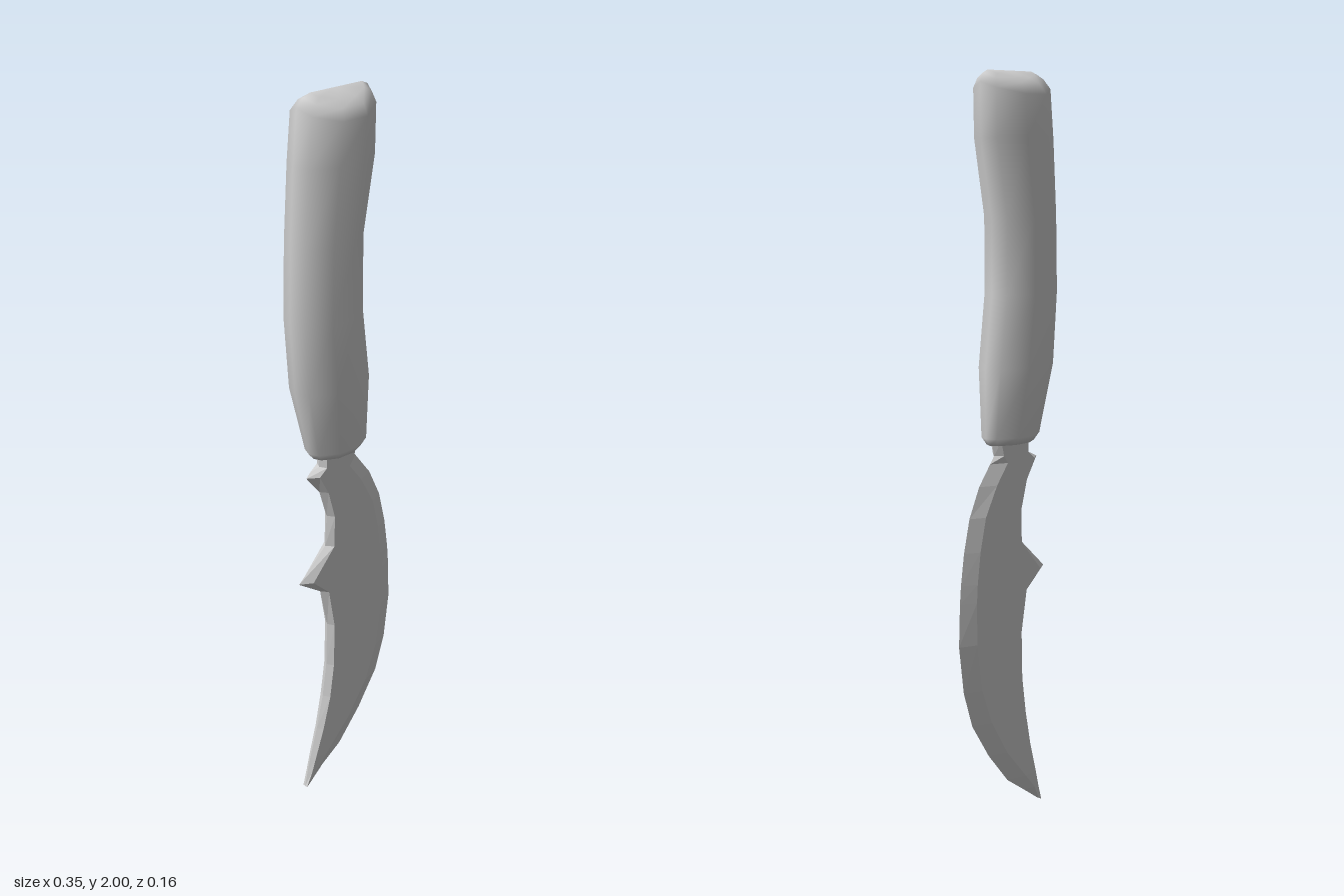
import * as THREE from 'three';

// Skin a stack of closed rings (bottom to top, counter-clockwise from above) and cap both ends.
function loft(rings, smooth) {
  const n = rings[0].length;
  const points = rings.flat();
  const index = [];
  for (let i = 0; i < rings.length - 1; i++) {
    for (let j = 0; j < n; j++) {
      const a = i * n + j, b = i * n + (j + 1) % n;
      index.push(a, b, b + n, a, b + n, a + n);
    }
  }
  const cap = (start, top) => {
    const ring = points.slice(start, start + n);
    const x = (Math.min(...ring.map(p => p[0])) + Math.max(...ring.map(p => p[0]))) / 2;
    const y = Math.max(...ring.map(p => p[1]));
    const c = points.push([x, y, 0]) - 1;
    for (let j = 0; j < n; j++) {
      const a = start + j, b = start + (j + 1) % n;
      if (top) index.push(c, a, b);
      else index.push(c, b, a);
    }
  };
  cap(0, false);
  cap((rings.length - 1) * n, true);

  let geometry = new THREE.BufferGeometry();
  geometry.setAttribute('position', new THREE.Float32BufferAttribute(points.flat(), 3));
  geometry.setIndex(index);
  if (!smooth) geometry = geometry.toNonIndexed();
  geometry.computeVertexNormals();
  return geometry;
}

// Handle cross-section: flat sides, rounded back (-x), tapered front (+x)
const SECTION = [[0, 0], [0.06, 0.5], [0.32, 1], [0.65, 1], [0.93, 0.5], [1, 0],
  [0.93, -0.5], [0.65, -1], [0.32, -1], [0.06, -0.5]];

function handleGeometry() {
  // y, back x, front x, half thickness, drop of the sides below the ridge
  const rows = [
    [1.035, -0.105, 0.055, 0.042, 0],
    [1.055, -0.122, 0.07, 0.055, 0],
    [1.24, -0.165, 0.07, 0.08, 0],
    [1.43, -0.178, 0.046, 0.081, 0],
    [1.63, -0.173, 0.046, 0.081, 0],
    [1.83, -0.162, 0.085, 0.081, 0],
    [1.97, -0.149, 0.087, 0.081, 0.03],
    [1.992, -0.128, 0.078, 0.066, 0.025],
    [2.0, -0.105, 0.06, 0.042, 0.018],
  ];
  return loft(rows.map(([y, back, front, half, drop]) => SECTION.map(([t, s]) =>
    [back + t * (front - back), y - drop * Math.abs(s), s * half])), true);
}

function bladeGeometry() {
  // y, spine edge, flat start, flat end, cutting edge, half thickness
  const rows = [
    [0, -0.147, -0.1465, -0.1455, -0.145, 0.008],
    [0.045, -0.137, -0.13, -0.115, -0.08, 0.012],
    [0.09, -0.126, -0.117, -0.075, -0.015, 0.014],
    [0.18, -0.101, -0.09, 0.005, 0.06, 0.017],
    [0.28, -0.078, -0.067, 0.068, 0.124, 0.02],
    [0.38, -0.064, -0.053, 0.105, 0.156, 0.02],
    [0.51, -0.06, -0.05, 0.124, 0.173, 0.02],
    [0.625, -0.085, -0.07, 0.125, 0.169, 0.02],
    [0.675, -0.16, -0.125, 0.122, 0.165, 0.02],
    [0.76, -0.066, -0.05, 0.111, 0.153, 0.02],
    [0.85, -0.06, -0.048, 0.09, 0.132, 0.02],
    [0.93, -0.085, -0.07, 0.047, 0.095, 0.02],
    [0.985, -0.13, -0.1, 0.005, 0.053, 0.02],
    [1.005, -0.085, -0.075, 0.02, 0.038, 0.02],
    [1.045, -0.085, -0.075, 0.03, 0.045, 0.02],
  ];
  return loft(rows.map(([y, spine, a, b, edge, h]) =>
    [[spine, y, 0], [a, y, h], [b, y, h], [edge, y, 0], [b, y, -h], [a, y, -h]]), false);
}

export function createModel() {
  const grey = new THREE.MeshStandardMaterial({ color: 0xcccccc });
  grey.name = 'light grey';

  const group = new THREE.Group();
  group.name = 'knife';
  const add = (name, geometry) => {
    const mesh = new THREE.Mesh(geometry, grey);
    mesh.name = name;
    group.add(mesh);
  };
  add('handle', handleGeometry());
  add('blade', bladeGeometry());
  return group;
}
